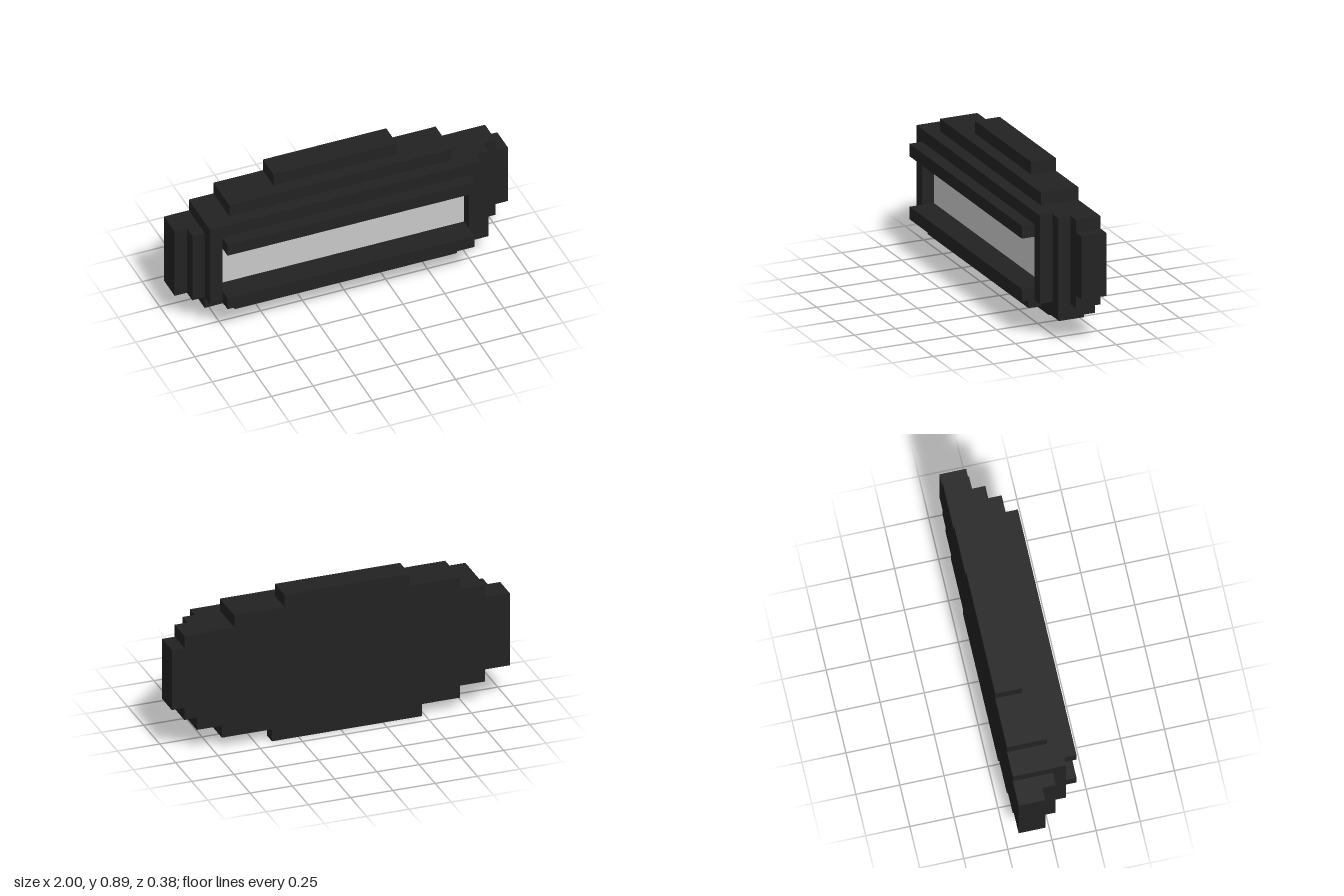
import * as THREE from 'three';

// One block: width and height U, depth D; the grid is 27 x 12 x 5 blocks
const U = 2 / 27;
const D = 0.378 / 5;
const px = (i) => -1 + i * U;
const py = (j) => j * U;
const pz = (k) => -0.189 + k * D;

// Stepped outline from bands [bottomRow, topRow, leftColumn, rightColumn], listed bottom to top
function outline(bands) {
  const right = [];
  const left = [];
  for (const [y0, y1, x0, x1] of bands) {
    right.push(new THREE.Vector2(px(x1), py(y0)), new THREE.Vector2(px(x1), py(y1)));
    left.unshift(new THREE.Vector2(px(x0), py(y1)), new THREE.Vector2(px(x0), py(y0)));
  }
  return new THREE.Shape([...right, ...left]);
}

function slab(name, shape, k0, k1, material) {
  const geometry = new THREE.ExtrudeGeometry(shape, { depth: (k1 - k0) * D, bevelEnabled: false });
  const mesh = new THREE.Mesh(geometry, material);
  mesh.position.z = pz(k0);
  mesh.name = name;
  return mesh;
}

export function createModel() {
  const casing = new THREE.MeshStandardMaterial({ color: 0x222222 });
  casing.name = 'dark casing';
  const light = new THREE.MeshStandardMaterial({ color: 0xc8c8c8 });
  light.name = 'pale panel';

  const model = new THREE.Group();
  model.name = 'blockPanel';

  // Back plate, with a thinner foot along the bottom
  model.add(slab('foot', outline([[0, 1, 7, 19]]), 0, 1, casing));
  model.add(slab('backPlate', outline([
    [1, 2, 4, 23], [2, 3, 2, 25], [3, 4, 0, 26], [4, 9, 0, 27],
    [9, 10, 2, 26], [10, 11, 4, 22], [11, 12, 8, 18],
  ]), 0, 2, casing));

  // Middle layer
  model.add(slab('middleLayer', outline([
    [2, 3, 2, 25], [3, 9, 1, 25], [9, 10, 2, 25], [10, 11, 4, 22],
  ]), 2, 3, casing));

  // Front frame with a rectangular opening
  const frame = outline([[2, 3, 4, 22], [3, 10, 2, 24]]);
  frame.holes.push(outline([[4, 8, 3, 23]]));
  model.add(slab('frontFrame', frame, 3, 4, casing));

  // Raised rails below and above the opening
  for (const [name, row] of [['lowerRail', 3], ['upperRail', 8]]) {
    model.add(slab(name, outline([[row, row + 1, 3, 23]]), 4, 5, casing));
  }

  // Pale panel at the bottom of the opening
  const panel = new THREE.Mesh(new THREE.BoxGeometry(20 * U, 4 * U, 0.004), light);
  panel.position.set(px(13), py(6), pz(3) + 0.002);
  panel.name = 'palePanel';
  model.add(panel);

  return model;
}
